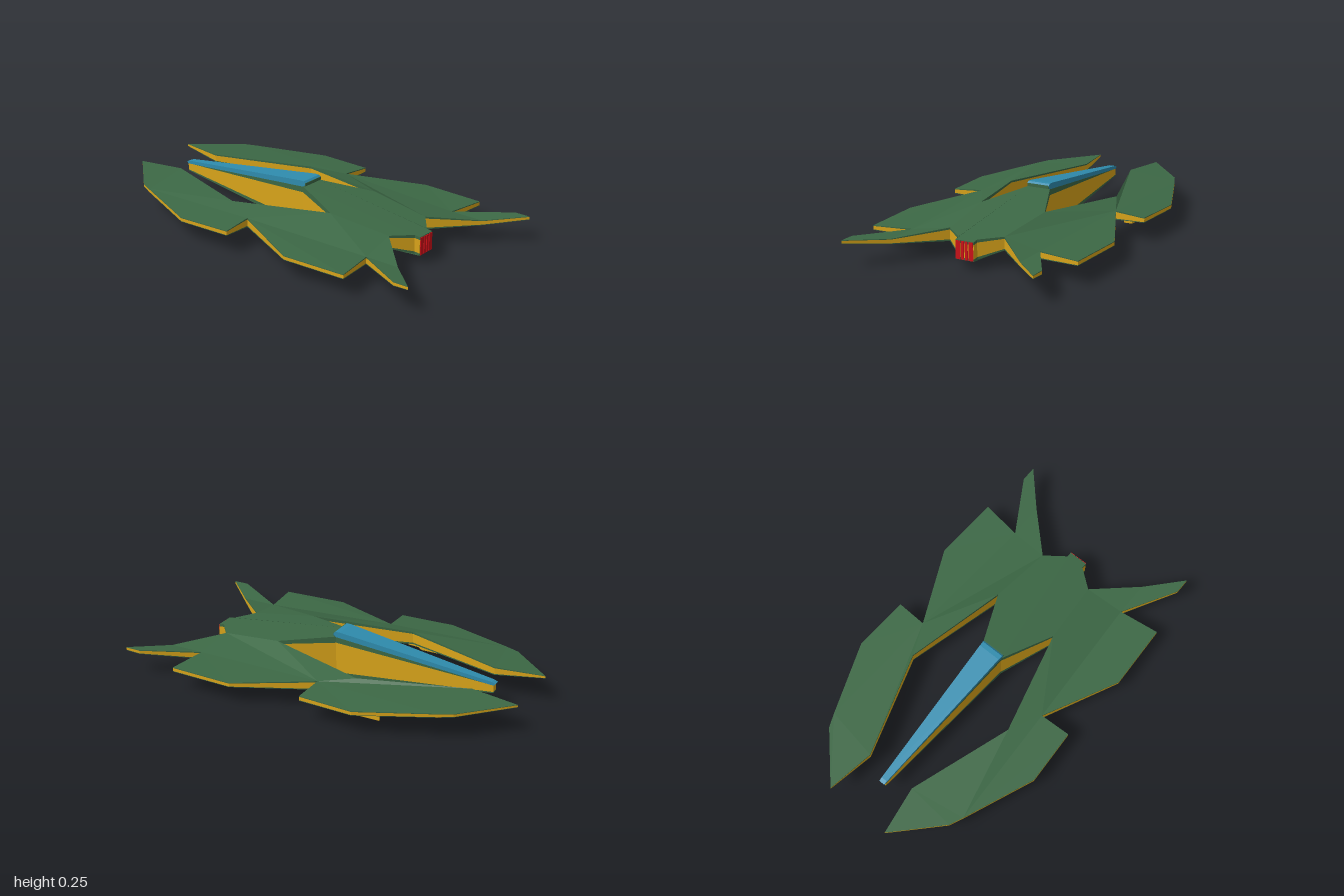
import * as THREE from 'three';

const mat = (color) => new THREE.MeshStandardMaterial({ color, flatShading: true });
const green = mat(0x3c6845), yellow = mat(0xd9a41a), blue = mat(0x2f8cae), red = mat(0xcc1018);

// Half outline of the hull, from nose to tail: [x, z, top y, bottom y]
const P = {
  a: [0.05, 0.74, 0.14, 0.045], b: [0.05, 0.71, 0.145, 0.048], c: [0.15, 0.63, 0.152, 0.085],
  d: [0.35, 0.83, 0.12, 0.095], e: [0.51, 1.0, 0.135, 0.118], f: [0.51, 0.92, 0.135, 0.115],
  g: [0.35, 0.65, 0.12, 0.082], h: [0.56, 0.68, 0.115, 0.092], i: [0.575, 0.34, 0.115, 0.093],
  j: [0.39, -0.05, 0.137, 0.09], k: [0.55, -0.04, 0.125, 0.1], l: [0.565, -0.33, 0.122, 0.1],
  m: [0.42, -0.7, 0.135, 0.115], n: [0.39, -0.77, 0.137, 0.12], o: [0.175, -1.0, 0.145, 0.132],
  p: [0.135, -0.75, 0.152, 0.11], q: [0.31, -0.22, 0.158, 0.09], r: [0.18, 0.3, 0.19, 0.075],
  s: [0.06, 0.03, 0.225, 0], t: [0.015, -0.81, 0.138, 0.09],
};
const outline = 'abcdefghijklmnopqrst';
const panels = ['abs', 'bcrs', 'cdg', 'defg', 'cgjr', 'rjq', 'ghij', 'jklm', 'jmpq', 'mnop'];

// Collects flat polygons, optionally mirrored across x = 0
class Faces {
  pos = [];
  add(pts, mirror = false) {
    const list = mirror ? pts.map(([x, y, z]) => [-x, y, z]).reverse() : pts;
    for (let i = 1; i < list.length - 1; i++) this.pos.push(...list[0], ...list[i], ...list[i + 1]);
  }
  both(pts) { this.add(pts); this.add(pts, true); }
  mesh(name, material) {
    const geo = new THREE.BufferGeometry();
    geo.setAttribute('position', new THREE.Float32BufferAttribute(this.pos, 3));
    geo.computeVertexNormals();
    const mesh = new THREE.Mesh(geo, material);
    mesh.name = name;
    return mesh;
  }
}

const flip = ([x, z, t, b]) => [-x, z, t, b];
const top = (p) => [p[0], p[2], p[1]];
const bottom = (p) => [p[0], p[3], p[1]];
// Point on the side wall; f runs from 0 at the top to 1 at the bottom
const at = (p, f) => [p[0], THREE.MathUtils.lerp(p[2], p[3], f), p[1]];

function box(name, size, position, material) {
  const mesh = new THREE.Mesh(new THREE.BoxGeometry(...size), material);
  mesh.position.set(...position);
  mesh.name = name;
  return mesh;
}

function buildHull() {
  const hull = new THREE.Group();
  hull.name = 'hull';
  const upper = new Faces(), lower = new Faces(), rims = new Faces(), walls = new Faces();

  // Upper and lower skins
  for (const panel of panels) {
    const pts = [...panel].map((k) => P[k]);
    upper.both(pts.map(top));
    lower.both(pts.map(bottom).reverse());
  }
  for (const [u, v] of ['as', 'st']) {
    const strip = [P[u], P[v], flip(P[v]), flip(P[u])];
    upper.add(strip.map(top));
    lower.add(strip.map(bottom).reverse());
  }

  // Side walls: a yellow band between green rims
  const wall = (A, B, method) => {
    const band = (f0, f1) => [at(A, f0), at(A, f1), at(B, f1), at(B, f0)];
    rims[method](band(0, 0.15));
    walls[method](band(0.15, 0.88));
    rims[method](band(0.88, 1));
  };
  for (let i = 0; i < outline.length - 1; i++) wall(P[outline[i]], P[outline[i + 1]], 'both');
  wall(flip(P.a), P.a, 'add');
  wall(P.t, flip(P.t), 'add');

  hull.add(upper.mesh('upperSkin', green), lower.mesh('lowerSkin', green),
    rims.mesh('edgeRims', green), walls.mesh('sideWalls', yellow));
  return hull;
}

// Tapered cap along the top of the tail boom
function buildBoomCap() {
  const profile = [[0.03, 0.222], [0.043, 0.23], [0.045, 0.242], [0.035, 0.251], [0.01, 0.251],
    [-0.8, 0.148], [-0.82, 0.14], [-0.81, 0.13]];
  const shape = new THREE.Shape(profile.map(([z, y]) => new THREE.Vector2(z, y)));
  const geo = new THREE.ExtrudeGeometry(shape, { depth: 2, bevelEnabled: false });
  geo.translate(0, 0, -1).rotateY(-Math.PI / 2);
  const pos = geo.attributes.position;
  for (let i = 0; i < pos.count; i++) {
    const f = (pos.getZ(i) + 0.81) / 0.84;
    pos.setX(i, pos.getX(i) * THREE.MathUtils.lerp(0.016, 0.061, f));
  }
  geo.computeVertexNormals();
  const cap = new THREE.Mesh(geo, blue);
  cap.name = 'boomCap';
  return cap;
}

// Three-pronged gun hung below a rear wing
function buildGun(side) {
  const gun = new THREE.Group();
  gun.name = side > 0 ? 'leftGun' : 'rightGun';
  const half = [[0, -0.16], [0.022, -0.16], [0.028, -0.22], [0.052, -0.25], [0.052, -0.42],
    [0.04, -0.42], [0.032, -0.31], [0.014, -0.31], [0.01, -0.38], [0, -0.38]];
  const plan = [...half, ...half.slice(1, -1).reverse().map(([x, z]) => [-x, z])];
  const shape = new THREE.Shape(plan.map(([x, z]) => new THREE.Vector2(x, -z)));
  const geo = new THREE.ExtrudeGeometry(shape, { depth: 0.022, bevelEnabled: false });
  geo.rotateX(-Math.PI / 2).translate(0, 0.045, 0);
  const body = new THREE.Mesh(geo, yellow);
  body.name = 'gunBody';
  const pylon = box('gunPylon', [0.03, 0.04, 0.2], [0, 0.083, -0.31], yellow);
  const spine = box('gunSpine', [0.022, 0.02, 0.26], [0, 0.082, -0.39], yellow);
  spine.rotation.x = 0.1;
  gun.add(body, pylon, spine);
  gun.position.x = side * 0.405;
  return gun;
}

// Red bars across the nose
function buildGrille() {
  const grille = new THREE.Group();
  grille.name = 'noseGrille';
  for (const [x, w] of [[0.035, 0.024], [0.01, 0.014]]) {
    for (const s of [1, -1]) grille.add(box('grilleBar', [w, 0.09, 0.012], [s * x, 0.092, 0.738], red));
  }
  return grille;
}

export function createModel() {
  const model = new THREE.Group();
  model.name = 'starship';
  model.add(buildHull(), buildBoomCap(), buildGrille(), buildGun(1), buildGun(-1));
  model.add(box('capFrontLip', [0.122, 0.016, 0.006], [0, 0.235, 0.044], green));
  return model;
}
